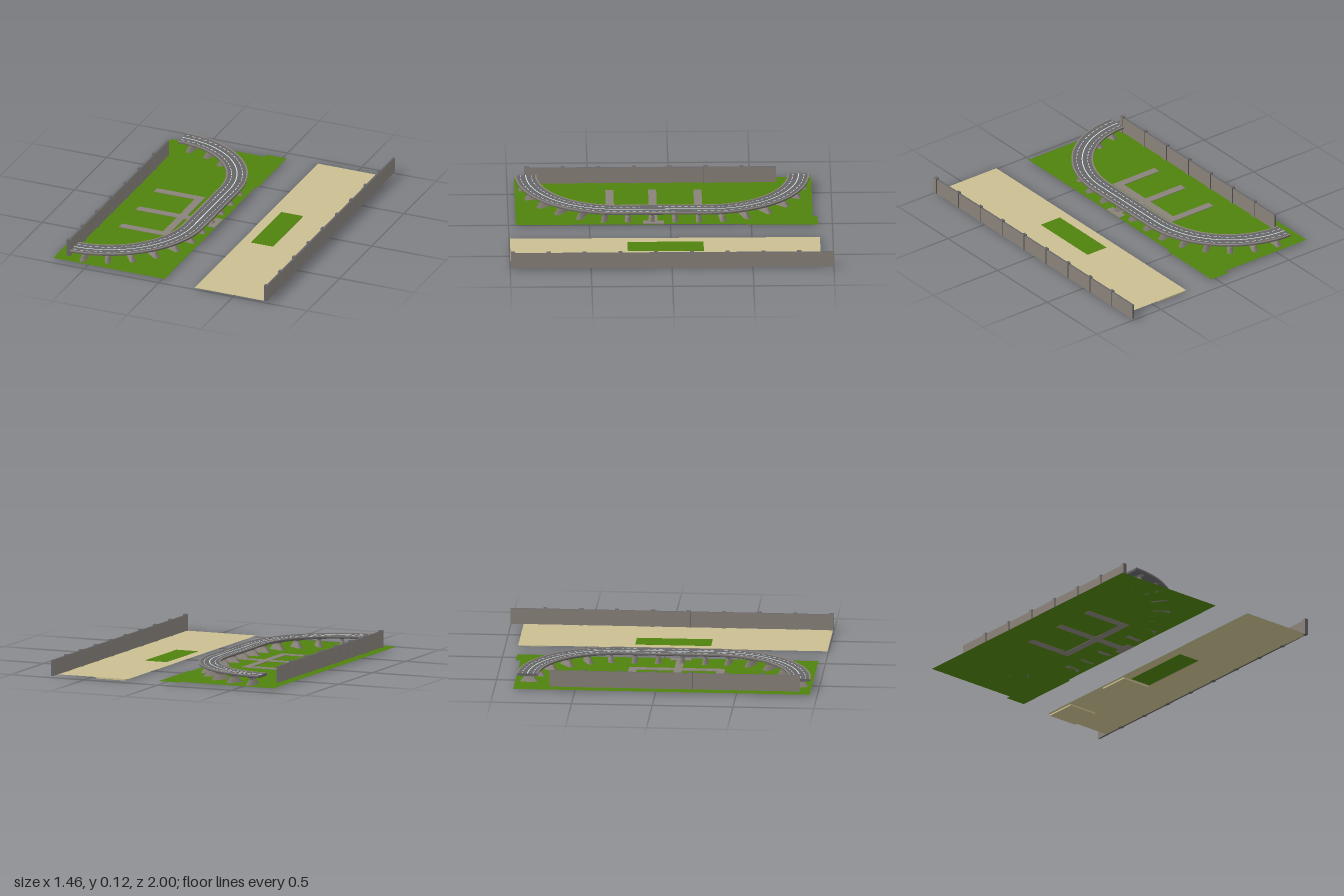
import * as THREE from 'three';
import { mergeGeometries } from 'three/addons/utils/BufferGeometryUtils.js';

const mat = (name, color, side = THREE.FrontSide) => {
  const m = new THREE.MeshStandardMaterial({ color, side });
  m.name = name;
  return m;
};

// Road centre line: quarter arc, straight, quarter arc
const R = 0.56, CX = -0.62, Z0 = -0.24, Z1 = 0.325;
const ARC = R * Math.PI / 2, LENGTH = 2 * ARC + Z1 - Z0;
const GROUND = 0.01;

function roadPoint(s, o, y) {
  const r = R + o;
  if (s < ARC) return new THREE.Vector3(CX + r * Math.sin(s / R), y, Z0 - r * Math.cos(s / R));
  if (s < ARC + Z1 - Z0) return new THREE.Vector3(CX + r, y, Z0 + s - ARC);
  const a = (s - ARC - Z1 + Z0) / R;
  return new THREE.Vector3(CX + r * Math.cos(a), y, Z1 + r * Math.sin(a));
}

// Sweeps a closed convex profile of [offset, height] along the road
function sweep(profile, s0 = 0, s1 = LENGTH, steps = 64) {
  const pos = [], n = profile.length;
  const tri = (...pts) => pts.forEach((p) => pos.push(p.x, p.y, p.z));
  const ring = (s) => profile.map(([o, y]) => roadPoint(s, o, y));
  const first = ring(s0), last = ring(s1);
  let a = first;
  for (let i = 1; i <= steps; i++) {
    const b = ring(s0 + (s1 - s0) * i / steps);
    for (let k = 0; k < n; k++) {
      const j = (k + 1) % n;
      tri(a[k], a[j], b[k], a[j], b[j], b[k]);
    }
    a = b;
  }
  for (let k = 1; k < n - 1; k++) {
    tri(first[0], first[k + 1], first[k]);
    tri(last[0], last[k], last[k + 1]);
  }
  const g = new THREE.BufferGeometry();
  g.setAttribute('position', new THREE.Float32BufferAttribute(pos, 3));
  g.computeVertexNormals();
  return g;
}

const strip = (o0, o1, y0, y1) => [[o0, y0], [o1, y0], [o1, y1], [o0, y1]];

// Box given by its limits
function span(x0, x1, y0, y1, z0, z1) {
  return new THREE.BoxGeometry(x1 - x0, y1 - y0, z1 - z0)
    .translate((x0 + x1) / 2, (y0 + y1) / 2, (z0 + z1) / 2);
}

// Four-sided block whose width changes from bottom to top
function taper(bottom, top, depth, y0, y1) {
  return new THREE.CylinderGeometry(top * Math.SQRT1_2, bottom * Math.SQRT1_2, y1 - y0, 4)
    .toNonIndexed().rotateY(Math.PI / 4)
    .scale(1, 1, depth / Math.max(bottom, top)).translate(0, (y0 + y1) / 2, 0);
}

// Flat sheet from [x, z] corners
function sheet(corners) {
  const shape = new THREE.Shape(corners.map(([x, z]) => new THREE.Vector2(x, -z)));
  return new THREE.ShapeGeometry(shape).rotateX(-Math.PI / 2).translate(0, GROUND, 0);
}

export function createModel() {
  const model = new THREE.Group();
  const grass = mat('grass', 0x50820d, THREE.DoubleSide);
  const sand = mat('sand', 0xc9be91, THREE.DoubleSide);
  const asphalt = mat('asphalt', 0x666468);
  const stone = mat('stone', 0x89827a);
  const paint = mat('roadPaint', 0xdce8e4);
  const add = (name, geometry, material, parent = model) => {
    const mesh = new THREE.Mesh(geometry, material);
    mesh.name = name;
    parent.add(mesh);
    return mesh;
  };

  // Grass field with its raised corner, and the sand strip
  add('grassField', sheet([
    [-0.73, 0.955], [0.02, 0.955], [0.02, -0.465], [0.035, -0.465],
    [0.035, -0.91], [-0.1, -0.91], [-0.1, -0.88], [-0.73, -0.88],
  ]), grass);
  add('sandStrip', sheet([[0.24, 0.995], [0.717, 0.995], [0.717, -0.92], [0.24, -0.92]]), sand);
  add('grassPatch', span(0.305, 0.453, GROUND - 0.001, GROUND + 0.001, -0.2, 0.27), grass);
  for (const z of [-0.92, -0.41]) {
    add('sandSlab', span(0.255, 0.455, 0, GROUND - 0.0004, z, z + 0.2), sand);
  }

  // Paved footpaths
  const paths = new THREE.Group();
  paths.name = 'footpaths';
  model.add(paths);
  const pave = (x0, x1, z0, z1) => add('footpath', span(x0, x1, GROUND - 0.001, 0.0135, z0, z1), stone, paths);
  pave(-0.255, -0.205, -0.2, 0.395);
  pave(-0.53, -0.255, -0.2, -0.15);
  pave(-0.53, -0.255, 0.345, 0.395);
  pave(-0.53, -0.255, 0.08, 0.13);
  pave(-0.205, -0.03, 0.08, 0.13);
  pave(-0.03, 0.018, 0.04, 0.17);

  // Elevated road deck, kerbs and lane markings
  const road = new THREE.Group();
  road.name = 'elevatedRoad';
  model.add(road);
  add('roadDeck', sweep([[-0.055, 0.063], [0.055, 0.063], [0.066, 0.068], [0.066, 0.078],
    [-0.066, 0.078], [-0.066, 0.068]]), asphalt, road);
  for (const side of [-1, 1]) {
    add('kerb', sweep(strip(side * 0.062 - 0.005, side * 0.062 + 0.005, 0.076, 0.081)), stone, road);
  }
  add('centreLine', sweep(strip(-0.003, 0.003, 0.0775, 0.079)), paint, road);
  const dashes = [], DASHES = 58, pitch = LENGTH / DASHES;
  for (let i = 0; i < DASHES; i++) {
    for (const o of [-0.034, 0.034]) {
      dashes.push(sweep(strip(o - 0.002, o + 0.002, 0.0775, 0.079),
        (i + 0.2) * pitch, (i + 0.8) * pitch, 2));
    }
  }
  add('laneDashes', mergeGeometries(dashes), paint, road);

  // Piers: spreading foot, column and flared cap, turned across the road
  const pier = mergeGeometries([
    taper(0.105, 0.055, 0.036, GROUND, 0.042),
    taper(0.048, 0.048, 0.018, 0.042, 0.054),
    taper(0.05, 0.095, 0.03, 0.052, 0.0635),
  ]);
  const PIERS = 16;
  for (let i = 0; i < PIERS; i++) {
    const s = 0.07 + (LENGTH - 0.14) * i / (PIERS - 1);
    const p = roadPoint(s, 0, 0);
    const out = roadPoint(s, 1, 0).sub(p);
    const mesh = add('pier', pier, stone, road);
    mesh.position.copy(p);
    mesh.rotation.y = Math.atan2(-out.z, out.x);
  }

  // Boundary walls with posts: stone sides, dark tops and ends
  const faces = [stone, stone, asphalt, asphalt, asphalt, asphalt];
  function wall(name, x, zBack, zFront, lastPost, count, top) {
    const g = new THREE.Group();
    g.name = name;
    model.add(g);
    add('wallPanel', span(x - 0.006, x + 0.006, GROUND, top - 0.006, zBack, zFront), faces, g);
    for (let i = 0; i < count; i++) {
      const z = lastPost - 0.221 * i;
      add('wallPost', span(x - 0.0125, x + 0.0125, GROUND, top, z - 0.0125, z + 0.0125), faces, g);
    }
  }
  wall('rightWall', -0.656, -0.662, 0.88, 0.877, 7, 0.118);
  wall('leftWall', 0.717, -1, 0.985, 0.983, 9, 0.115);

  return model;
}
